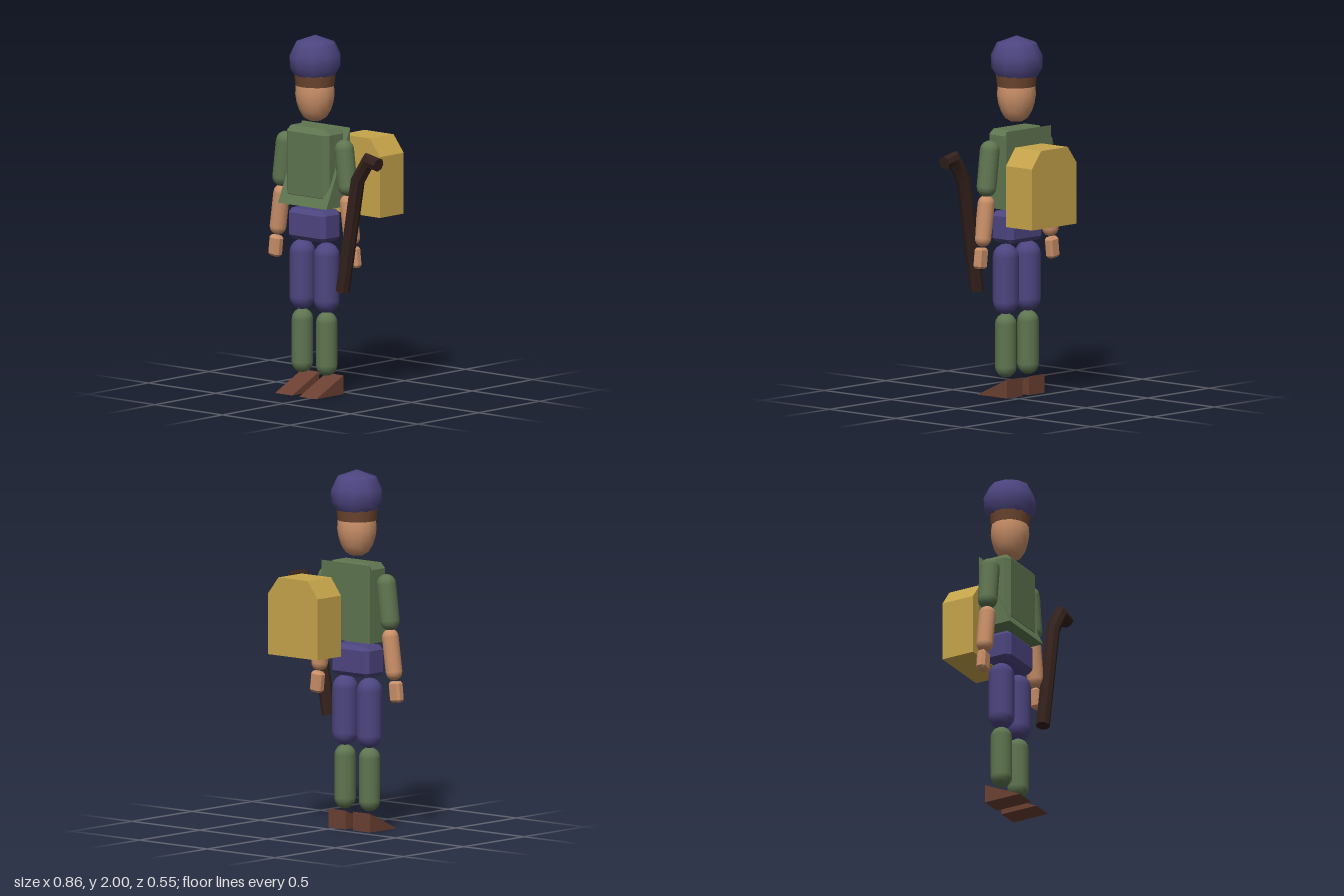
import * as THREE from 'three';
import { toCreasedNormals } from 'three/addons/utils/BufferGeometryUtils.js';
import { ConvexGeometry } from 'three/addons/geometries/ConvexGeometry.js';

const CX = -0.107, CZ = 0.12; // centre line of the figure
const paint = (color, flatShading = false) => new THREE.MeshStandardMaterial({ color, flatShading });
const purple = 0x4d4580, green = 0x5f7550, skin = 0xc98f68, leather = 0x6b4032;

// Box with every edge and corner cut off
function chamferBox(w, h, d, c) {
  const pts = [];
  for (const sx of [-1, 1]) for (const sy of [-1, 1]) for (const sz of [-1, 1])
    for (const [a, b, e] of [[0, c, c], [c, 0, c], [c, c, 0]])
      pts.push(new THREE.Vector3(sx * (w / 2 - a), sy * (h / 2 - b), sz * (d / 2 - e)));
  return new ConvexGeometry(pts);
}

// Extruded outline, centred along its depth
function slab(points, depth) {
  const shape = new THREE.Shape(points.map(([x, y]) => new THREE.Vector2(x, y)));
  return new THREE.ExtrudeGeometry(shape, { depth, bevelEnabled: false }).translate(0, 0, -depth / 2);
}

// Wedge: upright back at zBack, sloping down to zFront
function wedge(width, height, zBack, zFront) {
  return slab([[-zFront, 0], [-zBack, 0], [-zBack, height]], width).rotateY(Math.PI / 2);
}

const lathe = (profile, sides) =>
  new THREE.LatheGeometry(profile.map(([r, y]) => new THREE.Vector2(r, y)), sides);

// Round bar with mitred bends, following a path in the xy plane
function bentBar(path, r) {
  const p = path.map(([x, y]) => new THREE.Vector2(x, y));
  const n = p.length - 1;
  const geo = new THREE.CylinderGeometry(r, r, 1, 8, n);
  const pos = geo.attributes.position;
  for (let i = 0; i < pos.count; i++) {
    const k = Math.round((pos.getY(i) + 0.5) * n);
    const a = p[Math.max(k, 1)].clone().sub(p[Math.max(k, 1) - 1]).normalize();
    const j = Math.min(k, n - 1);
    const b = p[j + 1].clone().sub(p[j]).normalize();
    const t = a.clone().add(b).normalize();
    const s = pos.getX(i) / t.dot(a);
    pos.setXYZ(i, p[k].x + t.y * s, p[k].y - t.x * s, pos.getZ(i));
  }
  return toCreasedNormals(geo, 0.5);
}

export function createModel() {
  const model = new THREE.Group();
  const add = (name, geo, mat, x, y, z) => {
    const mesh = new THREE.Mesh(geo, mat);
    mesh.name = name;
    mesh.position.set(x, y, z);
    model.add(mesh);
    return mesh;
  };
  // Capsule between two heights, its overall ends at (x0, y0) and (x1, y1)
  const limb = (name, r, x0, y0, x1, y1, color) => {
    const len = Math.hypot(x1 - x0, y1 - y0);
    const mesh = add(name, new THREE.CapsuleGeometry(r, len - 2 * r, 4, 14), paint(color),
      (x0 + x1) / 2, (y0 + y1) / 2, CZ);
    mesh.rotation.z = Math.atan2(x1 - x0, y0 - y1);
  };

  // Head, hair band and cap
  add('head', lathe([[0, 1.52], [0.035, 1.524], [0.066, 1.542], [0.09, 1.58], [0.105, 1.625],
    [0.112, 1.67], [0.108, 1.725], [0.09, 1.77], [0, 1.785]], 14), paint(skin), CX, 0, CZ).scale.z = 0.94;
  add('hairBand', new THREE.CylinderGeometry(0.117, 0.11, 0.062, 14), paint(0x6d4630),
    CX, 1.75, CZ).scale.z = 0.95;
  add('cap', toCreasedNormals(lathe([[0, -0.083], [0.115, -0.083], [0.142, -0.04], [0.144, 0.03],
    [0.11, 0.1], [0, 0.14]], 10), 0.8), paint(purple), CX, 1.86, 0.118);

  // Torso: chest block, flared jacket and hips
  add('chest', chamferBox(0.317, 0.41, 0.168, 0.03), paint(green, true), CX, 1.285, 0.12);
  add('jacket', wedge(0.358, 0.435, 0.028, 0.225), paint(green, true), CX, 1.055, 0);
  add('hips', chamferBox(0.277, 0.175, 0.16, 0.025), paint(purple, true), -0.112, 0.943, CZ);

  // Arms and legs, mirrored about the body's centre line
  for (const [side, s] of [['left', 1], ['right', -1]]) {
    const X = d => CX + s * d;
    limb(side + 'UpperArm', 0.055, X(0.21), 1.438, X(0.25), 1.127, green);
    limb(side + 'Forearm', 0.047, X(0.24), 1.137, X(0.28), 0.853, skin);
    const hand = add(side + 'Hand', chamferBox(0.077, 0.118, 0.056, 0.014), paint(skin, true),
      X(0.29), 0.79, CZ);
    hand.rotation.z = s * 0.11;

    const leg = -0.11 + s * 0.09;
    limb(side + 'Thigh', 0.072, leg, 0.85, leg, 0.457, purple);
    limb(side + 'Shin', 0.06, leg, 0.463, leg, 0.105, green);
    add(side + 'Shoe', wedge(0.126, 0.105, 0.052, 0.275), paint(leather, true), leg, 0, 0);
  }

  // Backpack with cut upper corners
  add('backpack', slab([[-0.168, 0.985], [0.195, 0.985], [0.195, 1.325], [0.12, 1.42],
    [-0.095, 1.42], [-0.168, 1.325]], 0.195), paint(0xc6a44b, true), 0, 0, -0.178);

  // Walking stick with bent handle
  add('stick', bentBar([[0.151, 0.602], [0.262, 1.235], [0.341, 1.354], [0.416, 1.339]], 0.039),
    paint(0x33211c), 0, 0, 0.177);

  return model;
}
